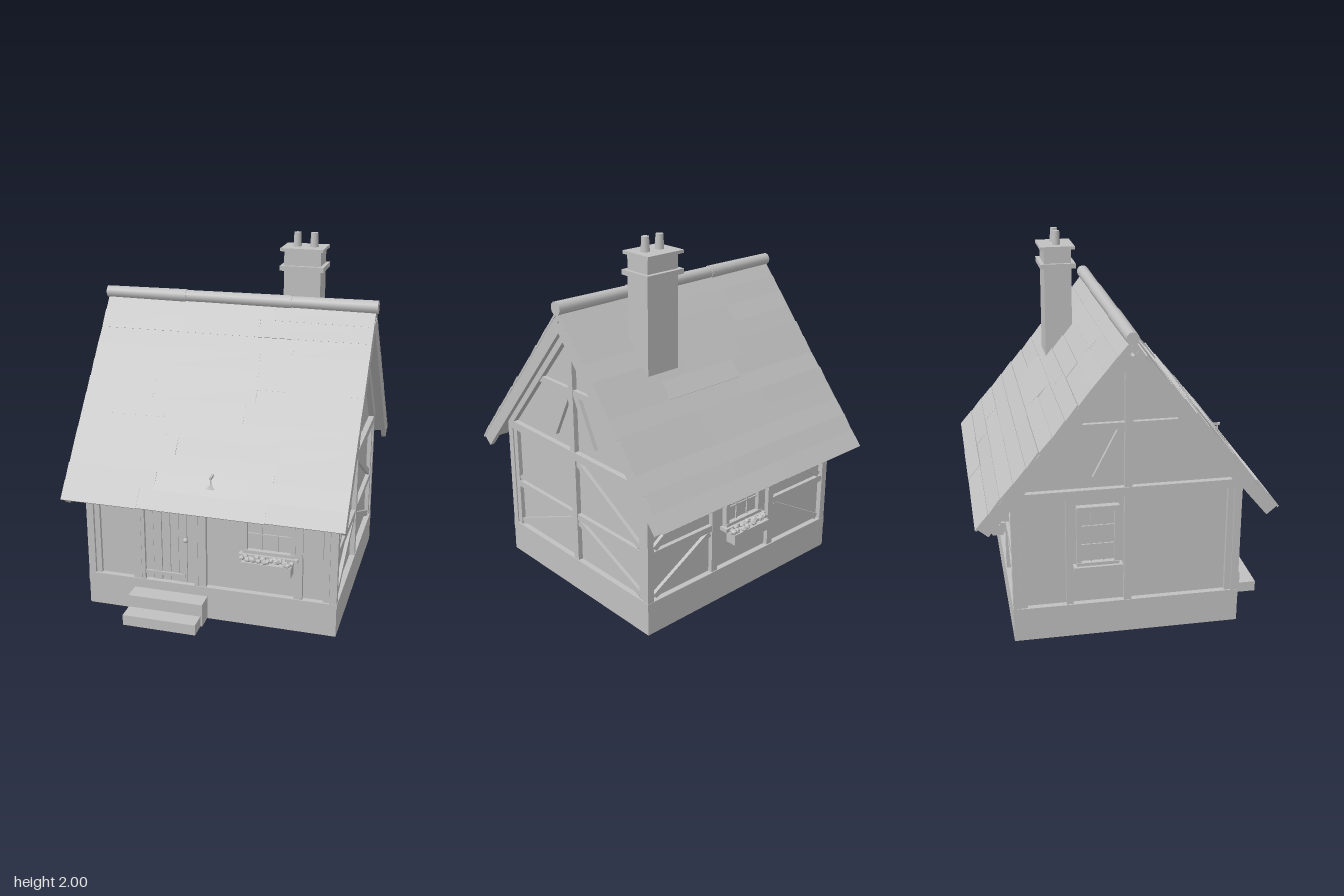
import * as THREE from 'three';

const stone = new THREE.MeshStandardMaterial({ color: 0xc0c0c0 });
stone.name = 'plain grey';

// Small seeded generator for hand-made irregularity
let seed = 7;
const rnd = () => (seed = (seed * 16807) % 2147483647) / 2147483647;

function add(parent, name, geo, x = 0, y = 0, z = 0) {
  const m = new THREE.Mesh(geo, stone);
  m.name = name;
  m.position.set(x, y, z);
  parent.add(m);
  return m;
}

// Box given by its limits on each axis
const box = (p, name, x0, x1, y0, y1, z0, z1) =>
  add(p, name, new THREE.BoxGeometry(x1 - x0, y1 - y0, z1 - z0), (x0 + x1) / 2, (y0 + y1) / 2, (z0 + z1) / 2);

// Timber lying on a wall plane (local xy) from one point to another
function beam(p, name, x0, y0, x1, y1, w = 0.04, d = 0.03) {
  const m = add(p, name, new THREE.BoxGeometry(Math.hypot(x1 - x0, y1 - y0), w, d), (x0 + x1) / 2, (y0 + y1) / 2, d / 2);
  m.rotation.z = Math.atan2(y1 - y0, x1 - x0);
  return m;
}

function group(parent, name, x = 0, y = 0, z = 0, ry = 0) {
  const g = new THREE.Group();
  g.name = name;
  g.position.set(x, y, z);
  g.rotation.y = ry;
  parent.add(g);
  return g;
}

// Framed lattice window on a wall plane
function makeWindow(p, cx, y0, y1, w) {
  const g = group(p, 'window', cx);
  const h = w / 2;
  box(g, 'windowPane', -h, h, y0, y1, 0, 0.006);
  for (const s of [-1, 1]) beam(g, 'windowJamb', s * h, y0, s * h, y1, 0.025, 0.03);
  for (const y of [y0, y1]) beam(g, 'windowRail', -h - 0.012, y, h + 0.012, y, 0.025, 0.034);
  for (const t of [-1 / 6, 1 / 6]) beam(g, 'mullion', t * w, y0, t * w, y1, 0.008, 0.014);
  for (const t of [1 / 3, 2 / 3]) {
    const y = y0 + t * (y1 - y0);
    beam(g, 'glazingBar', -h, y, h, y, 0.008, 0.014);
  }
  box(g, 'windowSill', -h - 0.03, h + 0.03, y0 - 0.025, y0 - 0.005, 0, 0.05);
}

// Planter with a row of small blossoms
function flowerBox(p, cx) {
  const g = group(p, 'flowerBox', cx);
  box(g, 'planter', -0.135, 0.135, 0.345, 0.405, 0.03, 0.095);
  for (let i = 0; i < 18; i++) {
    const f = add(g, 'flower', new THREE.IcosahedronGeometry(0.013 + rnd() * 0.007, 0),
      -0.135 + 0.27 * (i / 17), 0.415 + rnd() * 0.01, 0.045 + rnd() * 0.045);
    f.rotation.set(rnd() * 3, rnd() * 3, 0);
  }
}

// Upper gable framing, shared by both ends
function gableFrame(p) {
  const s = new THREE.Shape([[-0.58, 0.14], [0.58, 0.14], [0.58, 0.9], [0, 1.59], [-0.58, 0.9]].map(a => new THREE.Vector2(...a)));
  add(p, 'gableWall', new THREE.ExtrudeGeometry(s, { depth: 0.06, bevelEnabled: false }), 0, 0, -0.06);
  beam(p, 'sillBeam', -0.61, 0.167, 0.61, 0.167, 0.046, 0.032);
  beam(p, 'tieBeam', -0.6, 0.825, 0.6, 0.825, 0.046, 0.032);
  beam(p, 'kingPost', 0, 0.19, 0, 1.53, 0.04, 0.028);
  beam(p, 'collarBeam', -0.31, 1.185, 0.31, 1.185, 0.035, 0.024);
  for (const m of [-1, 1]) {
    beam(p, 'cornerPost', m * 0.59, 0.14, m * 0.59, 0.85);
    beam(p, 'innerPost', m * 0.552, 0.19, m * 0.552, 0.8, 0.034, 0.024);
    beam(p, 'gableRafter', 0, 1.55, m * 0.6, 0.838, 0.06, 0.032);
    beam(p, 'gableBrace', m * 0.03, 1.18, m * 0.17, 0.905, 0.036, 0.022);
  }
}

// One roof slope: thin slab, overlapping courses and barge boards
function roofSlope(parent, name, ry) {
  const turn = group(parent, name, 0, 1.64, 0, ry);
  const g = group(turn, 'slope');
  g.rotation.x = Math.atan2(0.94, 0.79);
  box(g, 'roofDeck', -0.755, 0.755, -0.035, -0.006, 0.02, 1.215);
  const rows = 12, pitch = 1.225 / rows;
  for (let r = 0; r < rows; r++) {
    const cuts = [-0.76, -0.27 + (rnd() - 0.5) * 0.25, 0.25 + (rnd() - 0.5) * 0.25, 0.76];
    for (let i = 0; i < 3; i++) {
      const t = box(g, 'shingle', cuts[i], cuts[i + 1], -0.006, 0.006, r * pitch, (r + 1) * pitch + 0.004);
      t.rotation.x = -0.02 + rnd() * 0.09;
      t.rotation.y = (rnd() - 0.5) * 0.016;
      t.position.y = -0.002 + rnd() * 0.004;
    }
  }
  for (const m of [-1, 1]) box(g, 'bargeBoard', m * 0.745 - 0.013, m * 0.745 + 0.013, -0.075, -0.005, 0.06, 1.22);
}

export function createModel() {
  const house = new THREE.Group();
  house.name = 'cottage';

  // Hollow stone footing and steps
  const ring = new THREE.Shape([[-0.7, -0.61], [0.7, -0.61], [0.7, 0.61], [-0.7, 0.61]].map(a => new THREE.Vector2(...a)));
  ring.holes.push(new THREE.Path([[-0.59, -0.5], [-0.59, 0.5], [0.59, 0.5], [0.59, -0.5]].map(a => new THREE.Vector2(...a))));
  add(house, 'footing', new THREE.ExtrudeGeometry(ring, { depth: 0.143, bevelEnabled: false }), 0, 0, 0).rotation.x = -Math.PI / 2;
  house.children[0].position.y = 0;
  box(house, 'upperStep', -0.43, -0.01, 0.005, 0.135, 0.6, 0.71);
  box(house, 'lowerStep', -0.43, -0.02, 0.005, 0.065, 0.7, 0.805);

  // Long walls with their shared frame
  const front = group(house, 'frontWall', 0, 0, 0.58);
  const back = group(house, 'backWall', 0, 0, -0.58, Math.PI);
  for (const w of [front, back]) {
    box(w, 'wallPanel', -0.67, 0.67, 0.14, 0.88, -0.06, 0);
    beam(w, 'sillBeam', -0.7, 0.167, 0.7, 0.167, 0.046, 0.032);
    beam(w, 'wallPlate', -0.7, 0.8, 0.7, 0.8, 0.05, 0.032);
    for (const m of [-1, 1]) beam(w, 'cornerPost', m * 0.68, 0.14, m * 0.68, 0.82);
  }

  // Front: posts, door, shuttered window
  for (const x of [-0.41, -0.04, 0.49]) beam(front, 'frontPost', x, 0.19, x, 0.8, 0.045, 0.026);
  for (const m of [-1, 1]) beam(front, 'innerPost', m * 0.642, 0.19, m * 0.642, 0.8, 0.03, 0.02);
  const door = group(front, 'door');
  for (let i = 0; i < 6; i++) {
    const x = -0.365 + i * 0.048;
    box(door, 'doorPlank', x, x + 0.045, 0.195, 0.68, 0, 0.01 + rnd() * 0.006);
  }
  for (const x of [-0.375, -0.072]) beam(door, 'doorJamb', x, 0.19, x, 0.7, 0.02, 0.03);
  beam(door, 'doorLintel', -0.385, 0.69, -0.062, 0.69, 0.02, 0.03);
  for (const y of [0.235, 0.65]) beam(door, 'strapHinge', -0.37, y, -0.14, y, 0.018, 0.022);
  add(door, 'doorKnob', new THREE.SphereGeometry(0.014, 12, 8), -0.13, 0.455, 0.028);
  makeWindow(front, 0.33, 0.435, 0.74, 0.26);
  for (const x of [0.12, 0.55]) box(front, 'shutter', x - 0.07, x + 0.07, 0.43, 0.74, 0, 0.014);
  flowerBox(front, 0.33);

  // Back: central window, braced side panels
  makeWindow(back, 0, 0.435, 0.72, 0.25);
  flowerBox(back, 0);
  for (const m of [-1, 1]) {
    beam(back, 'backPost', m * 0.22, 0.19, m * 0.22, 0.8, 0.04, 0.026);
    beam(back, 'midRail', m * 0.22, 0.46, m * 0.66, 0.46, 0.036, 0.024);
    beam(back, 'upperBrace', m * 0.25, 0.76, m * 0.64, 0.49, 0.034, 0.02);
    beam(back, 'lowerBrace', m * 0.25, 0.43, m * 0.64, 0.21, 0.034, 0.02);
  }

  // Gable ends
  const left = group(house, 'leftGable', 0.67, 0, 0, Math.PI / 2);
  const right = group(house, 'rightGable', -0.67, 0, 0, -Math.PI / 2);
  gableFrame(left);
  gableFrame(right);
  for (const m of [-1, 1]) {
    beam(left, 'midRail', 0, 0.458, m * 0.54, 0.458, 0.036, 0.024);
    beam(left, 'upperBrace', m * 0.02, 0.785, m * 0.53, 0.49, 0.034, 0.02);
    beam(left, 'lowerBrace', m * 0.02, 0.425, m * 0.53, 0.21, 0.034, 0.02);
  }
  makeWindow(right, -0.16, 0.42, 0.74, 0.2);
  beam(right, 'sidePost', -0.31, 0.19, -0.31, 0.8, 0.036, 0.024);

  // Roof and three tapering ridge caps
  roofSlope(house, 'frontRoof', 0);
  roofSlope(house, 'backRoof', Math.PI);
  for (const [x0, x1] of [[-0.77, -0.3], [-0.3, 0.3], [0.3, 0.77]]) {
    const cap = add(house, 'ridgeCap', new THREE.CylinderGeometry(0.033, 0.037, x1 - x0, 12), (x0 + x1) / 2, 1.655, 0);
    cap.rotation.z = Math.PI / 2;
  }

  // Chimney
  const chimney = group(house, 'chimney', 0.32, 0, -0.228);
  box(chimney, 'shaft', -0.103, 0.103, 1.2, 1.91, -0.077, 0.077);
  box(chimney, 'collar', -0.123, 0.123, 1.798, 1.825, -0.1, 0.1);
  box(chimney, 'capSlab', -0.122, 0.118, 1.905, 1.922, -0.1, 0.096);
  for (const x of [-0.045, 0.05]) {
    const pot = add(chimney, 'chimneyPot', new THREE.CylinderGeometry(0.02, 0.024, 0.08, 10), x, 1.96, 0);
    pot.rotation.y = x * 8;
  }

  // Lantern on its bracket above the door side
  const lantern = group(house, 'lantern', 0.04, 0, 0.685);
  box(lantern, 'bracket', -0.006, 0.006, 0.865, 0.877, -0.105, 0.015);
  box(lantern, 'hanger', -0.003, 0.003, 0.83, 0.868, -0.003, 0.003);
  box(lantern, 'lampBody', -0.016, 0.016, 0.788, 0.815, -0.016, 0.016);
  add(lantern, 'lampRoof', new THREE.ConeGeometry(0.032, 0.025, 4), 0, 0.826, 0).rotation.y = Math.PI / 4;

  return house;
}
